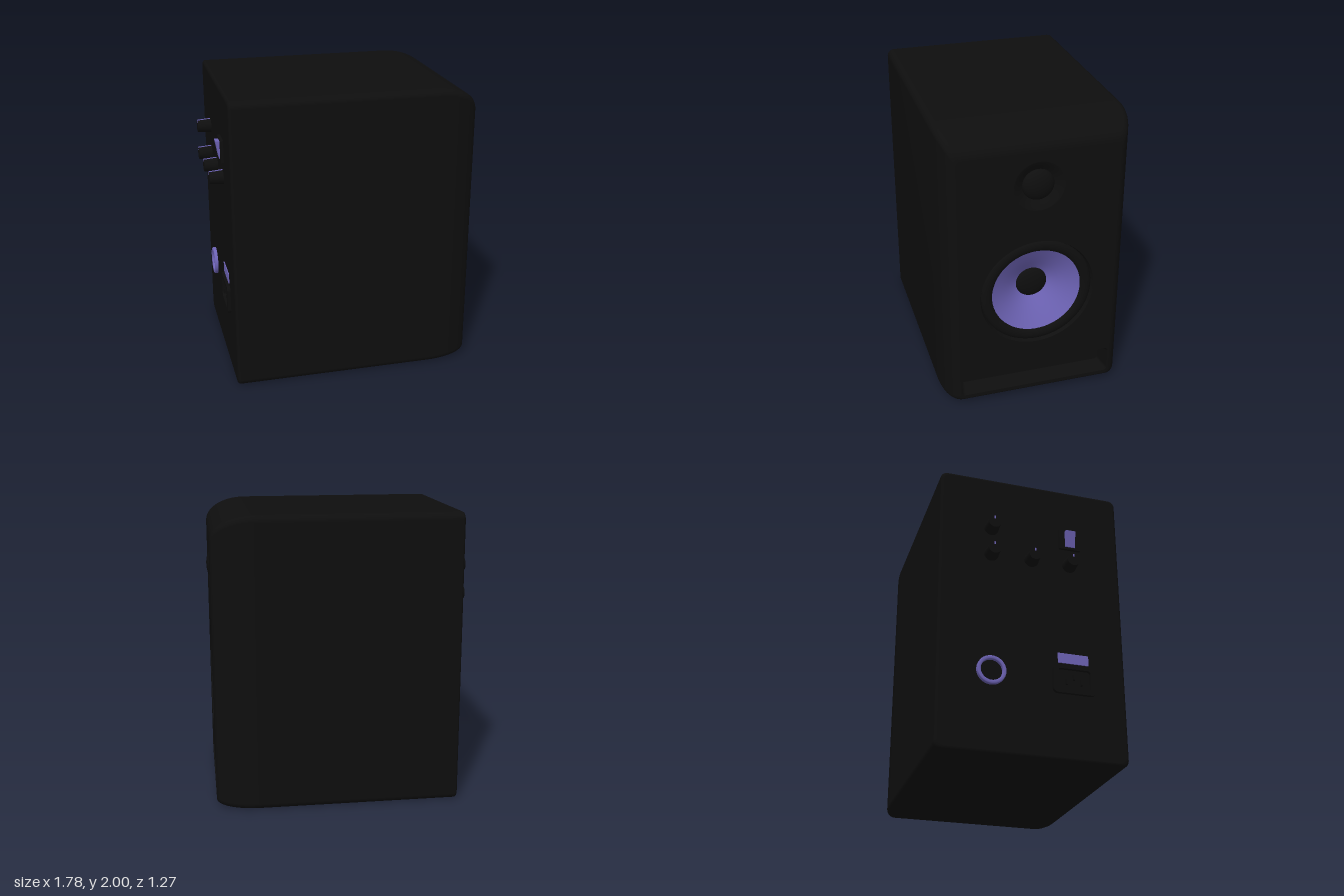
import * as THREE from 'three';

const FRONT = 0.87, BACK = 0.795;

// Rounded rectangle outline, counter-clockwise
function outline(hw, y0, y1, r, n = 6) {
  const pts = [];
  const corners = [[hw - r, y0 + r, -90], [hw - r, y1 - r, 0], [-hw + r, y1 - r, 90], [-hw + r, y0 + r, 180]];
  for (const [cx, cy, start] of corners)
    for (let i = 0; i <= n; i++) {
      const a = THREE.MathUtils.degToRad(start + (90 * i) / n);
      pts.push(new THREE.Vector2(cx + r * Math.cos(a), cy + r * Math.sin(a)));
    }
  return pts;
}

// Skin through rings of equal length; each ring is { pts, z }
function loft(rings) {
  const pos = [], idx = [], n = rings[0].pts.length;
  for (const { pts, z } of rings) for (const p of pts) pos.push(p.x, p.y, z);
  for (let i = 0; i < rings.length - 1; i++)
    for (let j = 0; j < n; j++) {
      const a = i * n + j, b = i * n + ((j + 1) % n), c = b + n, d = a + n;
      idx.push(a, b, c, a, c, d);
    }
  const g = new THREE.BufferGeometry();
  g.setAttribute('position', new THREE.Float32BufferAttribute(pos, 3));
  g.setIndex(idx);
  g.computeVertexNormals();
  return g;
}

// Round part facing +z; profile of [radius, z] runs from the rim inward
function round(profile, segments = 64) {
  return new THREE.LatheGeometry(profile.map(([r, z]) => new THREE.Vector2(r, z)), segments).rotateX(Math.PI / 2);
}

// Domed profile from the rim (r, z0) to the middle (0, z1)
function dome(r, z0, z1, n = 12) {
  return Array.from({ length: n + 1 }, (_, i) => {
    const a = (i / n) * Math.PI / 2;
    return [r * Math.cos(a), z0 + (z1 - z0) * Math.sin(a)];
  });
}

export function createModel() {
  const black = new THREE.MeshStandardMaterial({ color: 0x0e0e0e });
  black.name = 'black';
  const violet = new THREE.MeshStandardMaterial({ color: 0x6c62b3 });
  violet.name = 'violet';

  const model = new THREE.Group();
  model.name = 'speaker';
  const front = new THREE.Group(); // local +z points to +x
  front.name = 'frontSide';
  front.rotation.y = Math.PI / 2;
  const back = new THREE.Group(); // local +z points to -x
  back.name = 'rearSide';
  back.rotation.y = -Math.PI / 2;
  model.add(front, back);

  function add(parent, name, geometry, material, x = 0, y = 0, z = 0) {
    const m = new THREE.Mesh(geometry, material);
    m.name = name;
    m.position.set(x, y, z);
    parent.add(m);
    return m;
  }

  // Cabinet shell: small rear rounding, long soft curve toward the front
  const rings = [];
  for (let i = 0; i <= 4; i++) {
    const a = (i / 4) * Math.PI / 2, inset = 0.02 * (1 - Math.sin(a));
    rings.push({ pts: outline(0.635 - inset, inset, 2 - inset, 0.045), z: -BACK + 0.02 * (1 - Math.cos(a)) });
  }
  const rearOutline = rings[0].pts;
  for (let i = 0; i <= 14; i++) {
    const a = (i / 14) * Math.PI / 2, k = 1 - Math.cos(a);
    rings.push({
      pts: outline(0.635 - 0.1 * k, 0.045 * k, 2 - 0.16 * k, 0.045 - 0.01 * k),
      z: 0.58 + (FRONT - 0.58) * Math.sin(a),
    });
  }
  add(front, 'cabinet', loft(rings), black);
  add(back, 'rearPanel', new THREE.ShapeGeometry(new THREE.Shape(rearOutline)), black, 0, 0, BACK);

  // Front baffle with openings for woofer, tweeter and port
  const baffle = new THREE.Shape(rings[rings.length - 1].pts);
  const portOpening = outline(0.525, 0.07, 0.26, 0.025);
  baffle.holes.push(new THREE.Path(portOpening));
  for (const [y, r] of [[0.815, 0.39], [1.6, 0.17]])
    baffle.holes.push(new THREE.Path().absarc(0, y, r, 0, Math.PI * 2, true));
  add(front, 'baffle', new THREE.ShapeGeometry(baffle, 32), black, 0, 0, FRONT);

  // Bass port: tapering slot with a closed end
  const portEnd = outline(0.5, 0.08, 0.19, 0.02);
  add(front, 'portWalls', loft([{ pts: portOpening, z: FRONT }, { pts: portEnd, z: 0.74 }]), black);
  add(front, 'portEnd', new THREE.ShapeGeometry(new THREE.Shape(portEnd)), black, 0, 0, 0.74);

  // Woofer: rolled surround, cone and dust cap
  const roll = [[0.39, 0.87], [0.38, 0.845]];
  for (let i = 0; i <= 10; i++) {
    const a = (i / 10) * Math.PI;
    roll.push([0.342 + 0.037 * Math.cos(a), 0.842 + 0.022 * Math.sin(a)]);
  }
  add(front, 'wooferSurround', round(roll), black, 0, 0.815);
  add(front, 'wooferCone', round([[0.306, 0.843], [0.24, 0.808], [0.17, 0.767], [0.1, 0.722]]), violet, 0, 0.815);
  add(front, 'dustCap', round(dome(0.107, 0.725, 0.758)), black, 0, 0.815);

  // Tweeter: flared waveguide and dome
  add(front, 'tweeterWaveguide', round([[0.17, 0.87], [0.152, 0.864], [0.13, 0.85], [0.1, 0.832]]), black, 0, 1.6);
  add(front, 'tweeterDome', round(dome(0.106, 0.835, 0.886)), black, 0, 1.6);

  // Rear control knobs with a pointer line along the top and down the face
  for (const [x, y] of [[-0.28, 1.6], [-0.28, 1.4], [0, 1.4], [0.27, 1.4]]) {
    const knob = new THREE.Group();
    knob.name = 'knob';
    knob.position.set(x, y, BACK);
    back.add(knob);
    add(knob, 'knobBody', new THREE.CylinderGeometry(0.042, 0.05, 0.093, 24).rotateX(Math.PI / 2), black, 0, 0, 0.0465);
    const line = add(knob, 'pointerTop', new THREE.BoxGeometry(0.01, 0.006, 0.092), violet, 0, 0.046, 0.047);
    line.rotation.x = 0.086;
    add(knob, 'pointerFace', new THREE.BoxGeometry(0.01, 0.02, 0.004), violet, 0, 0.033, 0.093);
  }

  // Rocker switch: plate and wedge that stands out at the top
  add(back, 'switchPlate', new THREE.BoxGeometry(0.15, 0.15, 0.02), black, 0.275, 1.598, BACK + 0.008);
  const rocker = new THREE.BoxGeometry(0.07, 0.12, 0.05);
  const p = rocker.attributes.position;
  for (let i = 0; i < p.count; i++) if (p.getZ(i) > 0 && p.getY(i) < 0) p.setZ(i, 0.003);
  rocker.computeVertexNormals();
  add(back, 'rockerSwitch', rocker, violet, 0.275, 1.6, BACK + 0.02);

  // Signal input: raised ring around a dark socket
  add(back, 'inputRing', round([[0.097, 0], [0.097, 0.02], [0.092, 0.025], [0.077, 0.025], [0.072, 0.02], [0.072, 0]], 40), violet, -0.28, 0.55, BACK);
  add(back, 'inputSocket', new THREE.CircleGeometry(0.074, 40), black, -0.28, 0.55, BACK + 0.003);

  // Power inlet: framed recess with a coloured plate above
  const frame = new THREE.Shape(outline(0.145, -0.1, 0.1, 0.03));
  frame.holes.push(new THREE.Path(outline(0.11, -0.07, 0.07, 0.02)));
  add(back, 'powerInletFrame', new THREE.ExtrudeGeometry(frame, { depth: 0.022, bevelEnabled: false }), black, 0.275, 0.55, BACK);
  for (const [x, y] of [[-0.05, -0.015], [0, 0.02], [0.05, -0.015]])
    add(back, 'powerPin', new THREE.BoxGeometry(0.012, 0.04, 0.018), black, 0.275 + x, 0.55 + y, BACK + 0.009);
  add(back, 'powerPlate', new THREE.BoxGeometry(0.21, 0.07, 0.008), violet, 0.275, 0.7, BACK + 0.002);

  return model;
}
